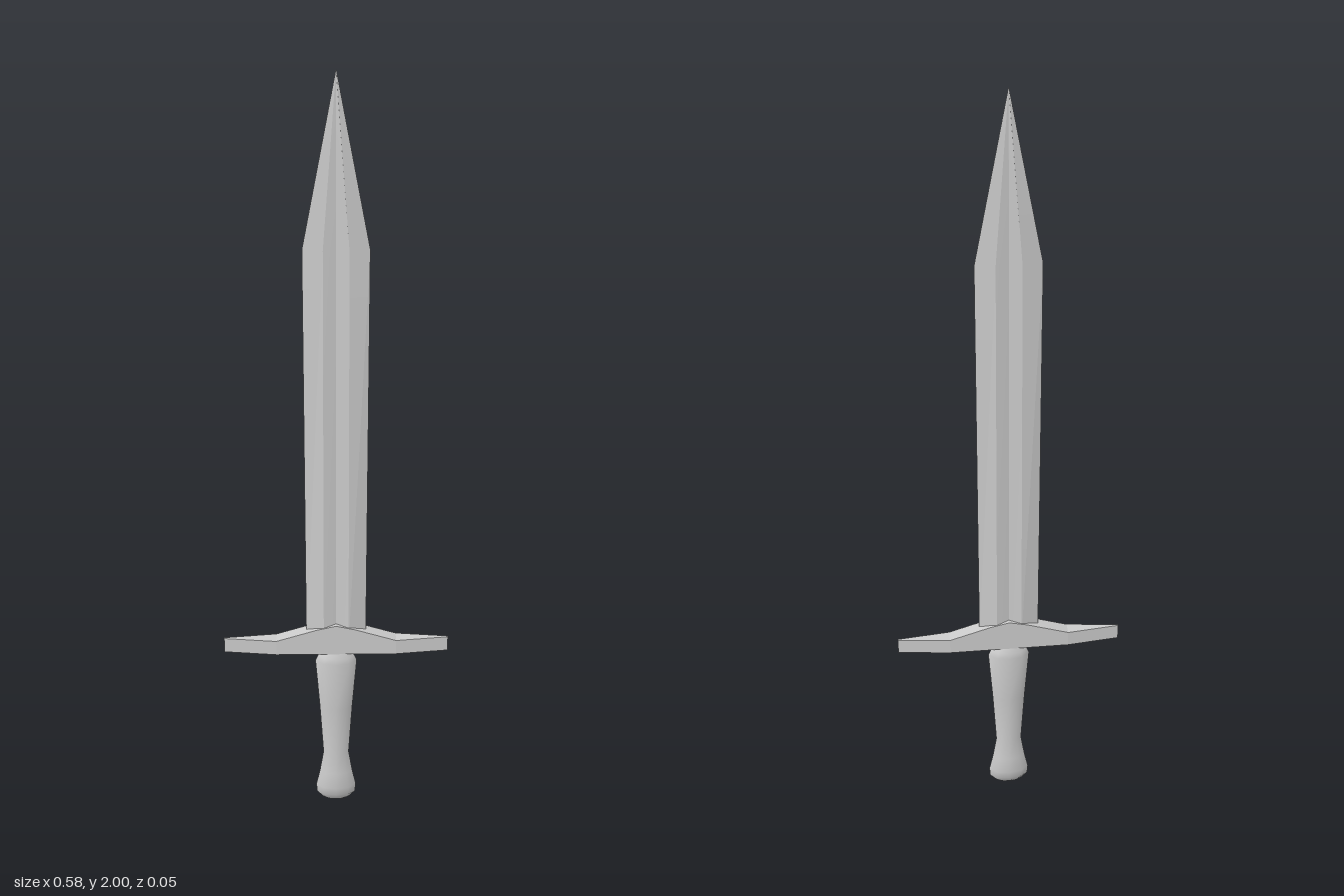
import * as THREE from 'three';
import { toCreasedNormals } from 'three/addons/utils/BufferGeometryUtils.js';

// Skins a list of rings (each a loop of [x, y, z]) and closes both ends.
function loft(rings, crease) {
  const n = rings[0].length;
  const centre = (ring) => [0, 1, 2].map((k) => ring.reduce((s, p) => s + p[k], 0) / n);
  const pos = rings.flat(2);
  const last = rings.length - 1;
  const startTip = rings.length * n;
  pos.push(...centre(rings[0]), ...centre(rings[last]));
  const index = [];
  for (let i = 0; i < n; i++) {
    const j = (i + 1) % n;
    for (let r = 0; r < last; r++) {
      const a = r * n + i, b = r * n + j;
      index.push(a, a + n, b, b, a + n, b + n);
    }
    index.push(startTip, i, j);
    index.push(startTip + 1, last * n + j, last * n + i);
  }
  const geometry = new THREE.BufferGeometry();
  geometry.setAttribute('position', new THREE.Float32BufferAttribute(pos, 3));
  geometry.setIndex(index);
  return toCreasedNormals(geometry, crease);
}

// Eight-sided horizontal ring: half width w, shoulder at (sx, sz), centre depth mz.
function octRing(y, w, sx, sz, mz) {
  return [[w, 0], [sx, sz], [0, mz], [-sx, sz], [-w, 0], [-sx, -sz], [0, -mz], [sx, -sz]]
    .map(([x, z]) => [x, y, z]);
}

export function createModel() {
  const group = new THREE.Group();
  const material = new THREE.MeshStandardMaterial({ color: 0xcccccc });
  const add = (name, geometry) => {
    const mesh = new THREE.Mesh(geometry, material);
    mesh.name = name;
    group.add(mesh);
  };

  // Blade with a shallow central groove, narrowing to a point
  add('blade', loft([
    octRing(0.52, 0.077, 0.032, 0.015, 0.006),
    octRing(1.6, 0.077, 0.03, 0.010, 0.004),
    octRing(2, 0.0005, 0.0002, 0.0002, 0.0002),
  ], 0.1));

  // Crossguard: [x, top height, half depth], mirrored about the centre
  const half = [[0.29, 0.542, 0.002], [0.155, 0.542, 0.017], [0.05, 0.576, 0.017]];
  const stations = [
    ...half.map(([x, t, d]) => [-x, t, d]),
    [0, 0.588, 0.017],
    ...half.slice().reverse(),
  ];
  add('crossguard', loft(stations.map(([x, top, d]) => [
    [x, top, d], [x, top, -d], [x, 0.5, -d], [x, 0.5, d],
  ]), 0.1));

  // Grip and pommel: [height, half width, half depth]
  const grip = [
    [0, 0.022, 0.003], [0.008, 0.036, 0.009], [0.026, 0.052, 0.018], [0.052, 0.054, 0.023],
    [0.1, 0.044, 0.019], [0.165, 0.034, 0.014], [0.32, 0.043, 0.019],
    [0.47, 0.054, 0.024], [0.485, 0.048, 0.022], [0.505, 0.033, 0.015],
  ];
  add('grip', loft(grip.map(([y, w, d]) => octRing(y, w, w * 0.62, d * 0.8, d)), 0.7));

  return group;
}
